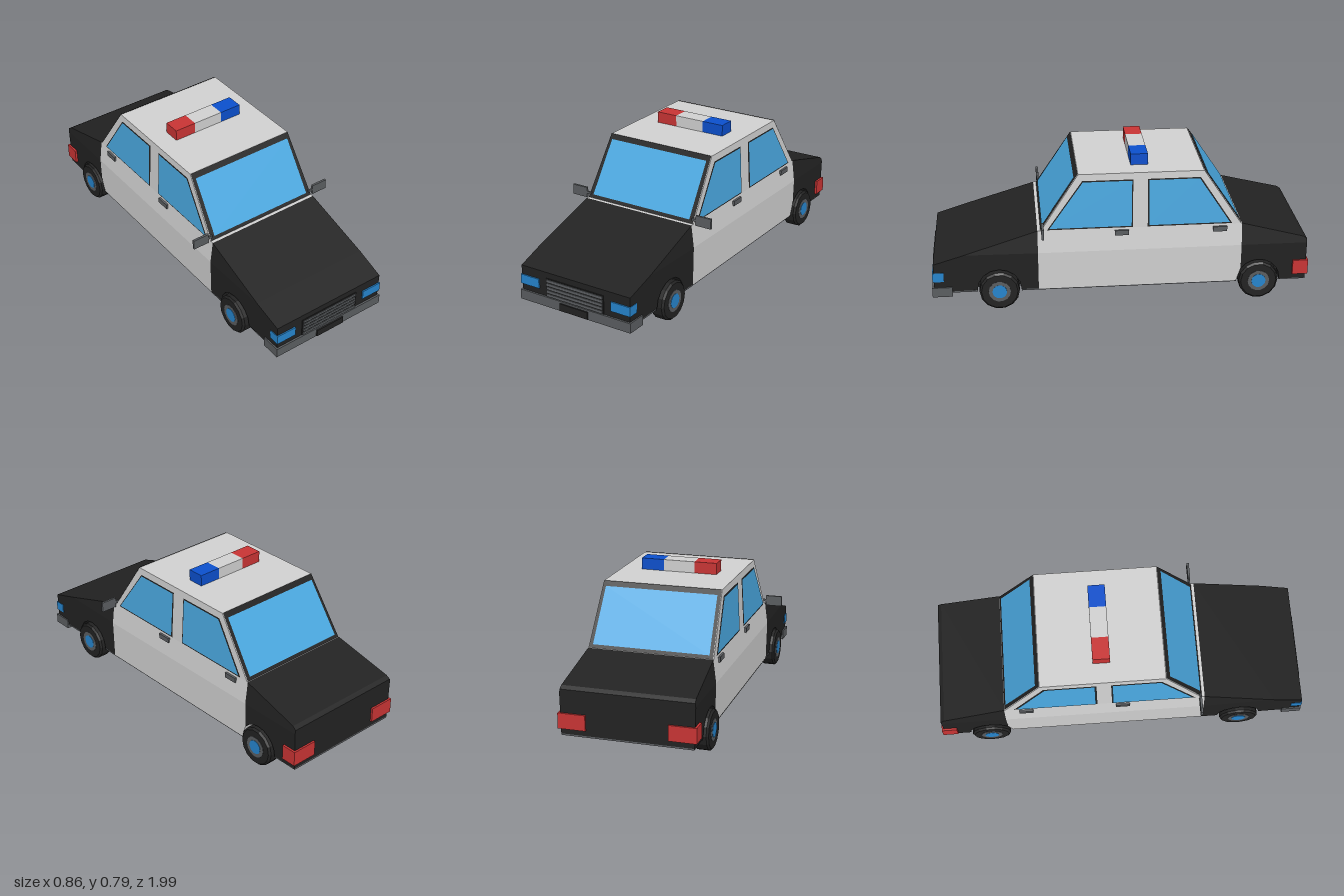
import * as THREE from 'three';

const paint = (name, color, side = THREE.FrontSide) => {
  const m = new THREE.MeshStandardMaterial({ color, side, flatShading: true });
  m.name = name;
  return m;
};

// half width of the bodywork at height y, slightly narrower toward the nose
const LEVELS = [[0.1, 0.338], [0.31, 0.343], [0.43, 0.328], [0.73, 0.313]];
function halfWidth(y, z) {
  let i = 0;
  while (i < 2 && y > LEVELS[i + 1][0]) i++;
  const [y0, w0] = LEVELS[i], [y1, w1] = LEVELS[i + 1];
  const w = w0 + (w1 - w0) * (y - y0) / (y1 - y0);
  return w * (1 - 0.03 * Math.max(0, (z - 0.435) / 0.55));
}

const shapeOf = pts => new THREE.Shape(pts.map(p => new THREE.Vector2(p[0], p[1])));

// solid from a side profile of [z, y] points, spread to the body width
function bodyGeometry(pts) {
  const g = new THREE.ExtrudeGeometry(shapeOf(pts), { depth: 1, bevelEnabled: false });
  g.rotateY(-Math.PI / 2);
  const p = g.attributes.position;
  for (let i = 0; i < p.count; i++) {
    p.setX(i, (p.getX(i) + 0.5) * 2 * halfWidth(p.getY(i), p.getZ(i)));
  }
  g.computeVertexNormals();
  return g;
}

// thin panel lying on one flank of the body
function flankGeometry(pts, side, lift) {
  const g = new THREE.ShapeGeometry(shapeOf(pts));
  g.rotateY(-Math.PI / 2);
  const p = g.attributes.position;
  for (let i = 0; i < p.count; i++) {
    p.setX(i, side * (halfWidth(p.getY(i), p.getZ(i)) + lift));
  }
  g.computeVertexNormals();
  return g;
}

// sloping four-cornered panel between a lower and an upper edge: [z, y, halfWidth]
function slopeGeometry([z0, y0, w0], [z1, y1, w1], lift) {
  const dir = Math.sign(z0);
  const n = new THREE.Vector2(y1 - y0, Math.abs(z1 - z0)).normalize().multiplyScalar(lift);
  const a = z0 + dir * n.x, b = z1 + dir * n.x, lo = y0 + n.y, hi = y1 + n.y;
  const g = new THREE.BufferGeometry();
  g.setAttribute('position', new THREE.Float32BufferAttribute(
    [-w0, lo, a, w0, lo, a, w1, hi, b, -w1, hi, b], 3));
  g.setIndex(dir > 0 ? [0, 1, 2, 0, 2, 3] : [0, 2, 1, 0, 3, 2]);
  g.computeVertexNormals();
  return g;
}

// points over a wheel opening, from high z to low z
function arch(z, from = 0, to = Math.PI) {
  return Array.from({ length: 9 }, (_, i) => {
    const a = from + (to - from) * i / 8;
    return [z + 0.115 * Math.cos(a), 0.105 + 0.115 * Math.sin(a)];
  });
}

export function createModel() {
  const car = new THREE.Group();
  car.name = 'patrolCar';
  const black = paint('blackPaint', 0x222222, THREE.DoubleSide);
  const white = paint('whitePaint', 0xd0d0d0, THREE.DoubleSide);
  const grey = paint('greyTrim', 0x5a5d60);
  const glass = paint('windowGlass', 0x4aa8e0, THREE.DoubleSide);
  const lamp = paint('blueLamp', 0x2684cc);
  const red = paint('redLamp', 0xc83434);
  const blue = paint('beaconBlue', 0x0b4fcc);

  const add = (name, geo, mat, parent = car) => {
    const m = new THREE.Mesh(geo, mat);
    m.name = name;
    parent.add(m);
    return m;
  };
  // box given by its limits on each axis
  const box = (name, mat, x0, x1, y0, y1, z0, z1) => {
    const g = new THREE.BoxGeometry(Math.abs(x1 - x0), y1 - y0, z1 - z0);
    g.translate((x0 + x1) / 2, (y0 + y1) / 2, (z0 + z1) / 2);
    return add(name, g, mat);
  };

  const FRONT = 0.64, REAR = -0.73, SEAM = -0.635;

  // black nose and hood
  add('noseLower', bodyGeometry([[0.435, 0.31], [0.82, 0.31], [0.98, 0.26], [0.98, 0.1],
    ...arch(FRONT), [0.435, 0.1]]), black);
  add('hood', bodyGeometry([[0.435, 0.31], [0.82, 0.31], [0.435, 0.43]]), black);

  // white cabin: doors, belt and roof section
  add('doorsLower', bodyGeometry([[0.435, 0.1], [0.435, 0.31], [SEAM, 0.31], [SEAM, 0.17], [-0.615, 0.105], [-0.615, 0.1]]), white);
  add('doorsUpper', bodyGeometry([[0.435, 0.31], [0.435, 0.43], [SEAM, 0.43], [SEAM, 0.31]]), white);
  add('cabinRoof', bodyGeometry([[0.417, 0.43], [0.22, 0.73], [-0.43, 0.73], [-0.63, 0.43]]), white);

  // black tail and trunk
  add('tailLower', bodyGeometry([[SEAM, 0.31], ...arch(REAR, 0.6, Math.PI), [-0.845, 0.1],
    [-0.985, 0.1], [-0.985, 0.31]]), black);
  add('trunk', bodyGeometry([[SEAM, 0.31], [-0.985, 0.31], [-0.985, 0.33], [-0.965, 0.345], [SEAM, 0.43]]), black);

  // underside, narrow between the wheels
  const floor = [[0.755, 0.98, 0.328], [0.525, 0.755, 0.28], [-0.615, 0.525, 0.336], [-0.845, -0.615, 0.28], [-0.985, -0.845, 0.336]];
  for (const [z0, z1, w] of floor) box('floor', grey, -w, w, 0.094, 0.102, z0, z1);

  // windshield and rear window with black surrounds
  add('windshieldFrame', slopeGeometry([0.417, 0.43, 0.325], [0.22, 0.73, 0.311], 0.003), black);
  add('windshield', slopeGeometry([0.407, 0.445, 0.3], [0.237, 0.705, 0.294], 0.006), glass);
  add('rearWindowFrame', slopeGeometry([-0.63, 0.43, 0.325], [-0.43, 0.73, 0.311], 0.003), black);
  add('rearWindow', slopeGeometry([-0.62, 0.445, 0.305], [-0.447, 0.705, 0.295], 0.006), glass);

  // side windows: black seal, then glass
  const seals = [
    [[0.385, 0.433], [0.2, 0.695], [-0.063, 0.695], [-0.06, 0.433]],
    [[-0.138, 0.433], [-0.138, 0.695], [-0.412, 0.695], [-0.583, 0.433]],
  ];
  const panes = [
    [[0.373, 0.441], [0.197, 0.689], [-0.057, 0.689], [-0.054, 0.441]],
    [[-0.146, 0.441], [-0.146, 0.689], [-0.407, 0.689], [-0.57, 0.441]],
  ];

  // tyre section, turned about the axle
  const tyre = new THREE.LatheGeometry([[0, -0.035], [0.105, -0.035], [0.105, 0.025], [0.095, 0.035], [0, 0.035]]
    .map(p => new THREE.Vector2(...p)), 14);
  const rim = new THREE.CylinderGeometry(0.058, 0.058, 0.004, 14);
  const hub = new THREE.CylinderGeometry(0.038, 0.038, 0.008, 14);

  for (const s of [1, -1]) {
    const tag = s > 0 ? 'left' : 'right';
    seals.forEach(p => add(tag + 'WindowSeal', flankGeometry(p, s, 0.002), black));
    panes.forEach(p => add(tag + 'Window', flankGeometry(p, s, 0.005), glass));

    // door handles
    for (const z of [-0.003, -0.518]) box(tag + 'DoorHandle', grey, s * 0.32, s * 0.341, 0.393, 0.42, z - 0.037, z + 0.037);

    // mirror on its arm
    box(tag + 'MirrorArm', grey, s * 0.315, s * 0.342, 0.446, 0.458, 0.405, 0.414);
    box(tag + 'Mirror', grey, s * 0.34, s * 0.43, 0.425, 0.48, 0.404, 0.416);

    // lamps
    box(tag + 'Headlight', lamp, s * 0.22, s * 0.334, 0.161, 0.212, 0.928, 0.987);
    box(tag + 'Taillight', red, s * 0.21, s * 0.352, 0.13, 0.21, -0.995, -0.913);

    // wheels
    for (const z of [FRONT, REAR]) {
      const wheel = new THREE.Group();
      wheel.name = tag + (z > 0 ? 'FrontWheel' : 'RearWheel');
      wheel.position.set(s * 0.325, 0.105, z);
      wheel.rotation.z = -s * Math.PI / 2;
      add('tyre', tyre, black, wheel);
      add('rim', rim, grey, wheel).position.y = 0.035;
      add('hub', hub, lamp, wheel).position.y = 0.035;
      car.add(wheel);
    }
  }

  // axles and the inner walls of the wheel openings
  for (const z of [FRONT, REAR]) {
    const axle = add('axle', new THREE.CylinderGeometry(0.02, 0.02, 0.6, 10), white);
    axle.rotation.z = Math.PI / 2;
    axle.position.set(0, 0.09, z);
    box('wheelWell', black, -0.28, 0.28, 0.1, 0.24, z - 0.116, z + 0.116);
  }

  // bumper, number plate and grille
  box('frontBumper', grey, -0.337, 0.337, 0.075, 0.128, 0.885, 0.99);
  box('numberPlate', black, -0.085, 0.085, 0.08, 0.119, 0.988, 0.998);
  box('grilleBack', black, -0.175, 0.175, 0.129, 0.229, 0.975, 0.984);
  for (let i = 0; i < 5; i++) {
    const y = 0.14 + i * 0.0195;
    box('grilleSlat', grey, -0.17, 0.17, y - 0.0065, y + 0.0065, 0.98, 0.988);
  }

  // roof light bar
  box('beaconRed', red, -0.205, -0.085, 0.728, 0.79, -0.15, -0.06);
  box('beaconCentre', white, -0.085, 0.083, 0.728, 0.79, -0.15, -0.06);
  box('beaconBlue', blue, 0.083, 0.205, 0.728, 0.79, -0.15, -0.06);

  return car;
}
